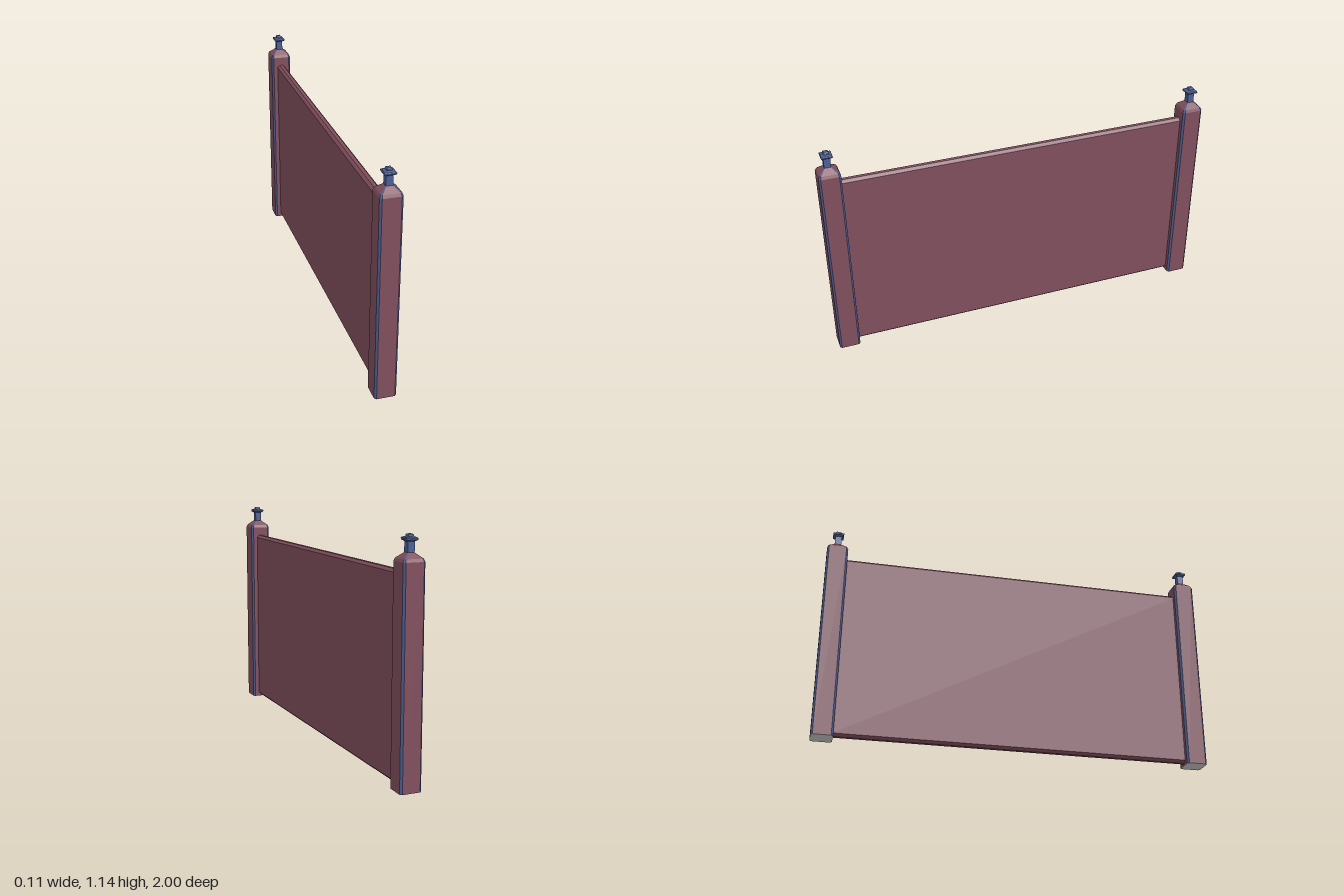
import * as THREE from 'three';

const paint = (color) => new THREE.MeshStandardMaterial({ color, flatShading: true });
const red = paint(0x804f5d);
const blue = paint(0x4c5f96);
const grey = paint(0xcccccc);

// Square of half-width h with corners cut by c; even sides are wide, odd sides are cuts
function cutSquare(h, c) {
  const k = h - c;
  return [[h, k], [h, -k], [k, -h], [-k, -h], [-h, -k], [-h, k], [-k, h], [k, h]];
}

// Sides of a stack of cut squares [h, c, y], keeping only the wide (0) or cut (1) sides
function loftSides(levels, parity) {
  const pos = [];
  for (let l = 0; l < levels.length - 1; l++) {
    const [h0, c0, y0] = levels[l], [h1, c1, y1] = levels[l + 1];
    const low = cutSquare(h0, c0), high = cutSquare(h1, c1);
    for (let i = parity; i < 8; i += 2) {
      const j = (i + 1) % 8;
      const a = [low[i][0], y0, low[i][1]], b = [low[j][0], y0, low[j][1]];
      const d = [high[i][0], y1, high[i][1]], e = [high[j][0], y1, high[j][1]];
      pos.push(...a, ...b, ...e, ...a, ...e, ...d);
    }
  }
  const geo = new THREE.BufferGeometry();
  geo.setAttribute('position', new THREE.Float32BufferAttribute(pos, 3));
  geo.computeVertexNormals();
  return geo;
}

function add(parent, name, geo, mat) {
  const mesh = new THREE.Mesh(geo, mat);
  mesh.name = name;
  parent.add(mesh);
  return mesh;
}

function createPost() {
  const post = new THREE.Group();
  const levels = [[0.0535, 0.0095, 0], [0.0535, 0.0095, 1.023], [0.047, 0.007, 1.037], [0.016, 0.002, 1.062]];
  add(post, 'postFaces', loftSides(levels, 0), red);
  add(post, 'postCornerStrips', loftSides(levels, 1), blue);

  // Underside
  const outline = new THREE.Shape(cutSquare(0.0535, 0.0095).map(([x, z]) => new THREE.Vector2(x, z)));
  add(post, 'postUnderside', new THREE.ShapeGeometry(outline).rotateX(Math.PI / 2), grey);

  // Square finial: neck, flared plate, small cap
  const profile = [[0.0165, 1.05], [0.0165, 1.108], [0.027, 1.115], [0.028, 1.122], [0.025, 1.126],
    [0.0135, 1.13], [0.0125, 1.137], [0.0095, 1.141], [0, 1.141]]
    .map(([r, y]) => new THREE.Vector2(r * Math.SQRT2, y));
  add(post, 'finial', new THREE.LatheGeometry(profile, 4).rotateY(Math.PI / 4), blue);
  return post;
}

export function createModel() {
  const fence = new THREE.Group();
  fence.name = 'fenceSection';

  for (const [name, side] of [['frontPost', 1], ['backPost', -1]]) {
    const post = createPost();
    post.name = name;
    post.position.z = side * 0.9465;
    fence.add(post);
  }

  // Panel with bevelled top and bottom edges, running into both posts
  const w = 0.022, b = 0.013, y0 = 0.01, y1 = 0.978;
  const section = new THREE.Shape([
    [-w + b, y0], [w - b, y0], [w, y0 + b], [w, y1 - b],
    [w - b, y1], [-w + b, y1], [-w, y1 - b], [-w, y0 + b],
  ].map(([x, y]) => new THREE.Vector2(x, y)));
  const panel = new THREE.ExtrudeGeometry(section, { depth: 1.8, bevelEnabled: false });
  add(fence, 'panel', panel.translate(0, 0, -0.9), red);
  return fence;
}
